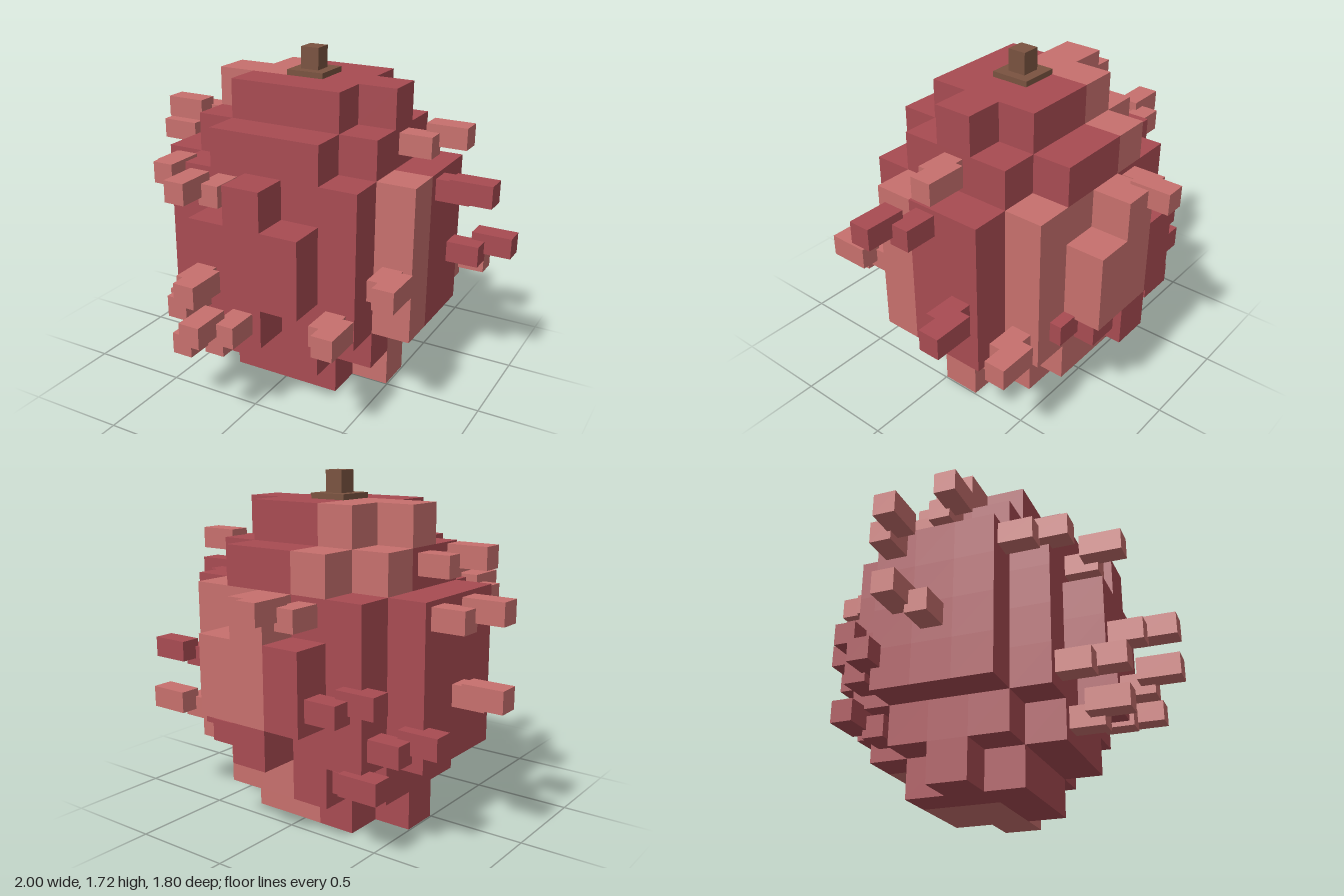
import * as THREE from 'three';
import { mergeGeometries } from 'three/addons/utils/BufferGeometryUtils.js';

const S = 0.1975;        // cell size
const ZC = -0.1;         // z of the body's middle row
const LAYERS = 8;

const mats = {
  darkRed: new THREE.MeshStandardMaterial({ name: 'darkRed', color: 0xa84b52 }),
  lightRed: new THREE.MeshStandardMaterial({ name: 'lightRed', color: 0xc7706d }),
  stemBrown: new THREE.MeshStandardMaterial({ name: 'stemBrown', color: 0x7a5340 }),
};

// Rounded body: which cells are filled (i = x, j = layer, k = z)
function filled(i, j, k) {
  const a = Math.abs(i), c = Math.abs(k);
  if (j < 0 || j >= LAYERS) return false;
  if (j === 0 || j === 7) return (a <= 1 && c <= 1) || (a === 2 && c === 0);
  if (j === 1 || j === 6) return (a <= 2 && c <= 1) || (a <= 1 && c === 2);
  if (c === 3) return a === 0 || (a === 1 && (j === 3 || j === 4));
  return (a <= 3 && c <= 1) || (a <= 2 && c === 2);
}

// Light patches on the skin
function isLight(i, j, k) {
  if (j <= 1) return i >= 0 && k <= 0;
  if (j === 7) return i < 0 && k <= 0;
  if (j === 6) return i < 0 && k < 0;
  if (i === 3) return k === 1;
  return i >= 0 && k <= -2 && !(k === -3 && j === 2);
}

const centre = (i, j, k) => new THREE.Vector3(i * S, (j + 0.5) * S, ZC + k * S);

// One outward-facing square on a cell's side
function cellFace(p, n) {
  const g = new THREE.PlaneGeometry(S, S);
  if (n[0]) g.rotateY(n[0] * Math.PI / 2);
  else if (n[1]) g.rotateX(-n[1] * Math.PI / 2);
  else if (n[2] < 0) g.rotateY(Math.PI);
  return g.translate(p.x + n[0] * S / 2, p.y + n[1] * S / 2, p.z + n[2] * S / 2);
}

function buildBody() {
  const faces = { darkRed: [], lightRed: [] };
  const dirs = [[1, 0, 0], [-1, 0, 0], [0, 1, 0], [0, -1, 0], [0, 0, 1], [0, 0, -1]];
  for (let i = -3; i <= 3; i++)
    for (let j = 0; j < LAYERS; j++)
      for (let k = -3; k <= 3; k++) {
        if (!filled(i, j, k)) continue;
        const list = faces[isLight(i, j, k) ? 'lightRed' : 'darkRed'];
        for (const n of dirs)
          if (!filled(i + n[0], j + n[1], k + n[2])) list.push(cellFace(centre(i, j, k), n));
      }
  const body = new THREE.Group();
  body.name = 'body';
  for (const key of ['darkRed', 'lightRed']) {
    const mesh = new THREE.Mesh(mergeGeometries(faces[key]), mats[key]);
    mesh.name = key === 'darkRed' ? 'skin' : 'skinPatches';
    body.add(mesh);
  }
  return body;
}

function box(name, mat, w, h, d, x, y, z) {
  const m = new THREE.Mesh(new THREE.BoxGeometry(w, h, d), mat);
  m.name = name;
  m.position.set(x, y, z);
  return m;
}

// Bent scale: a root block and a tip block shifted up and sideways
function scale([i, j, k, axis, dir, side, mat]) {
  const g = new THREE.Group();
  g.name = 'scale';
  const T = 0.108;
  const p = centre(i, j, k);
  const add = (name, from, to, shift, lift) => {
    const out = dir * (S / 2 + (from + to) / 2), len = to - from;
    g.add(axis === 'x'
      ? box(name, mats[mat], len, T, T, p.x + out, p.y + lift, p.z + shift)
      : box(name, mats[mat], T, T, len, p.x + shift, p.y + lift, p.z + out));
  };
  add('scaleRoot', 0, 0.168, 0, 0.02);
  add('scaleTip', 0.1, 0.307, side * 0.09, 0.061);
  return g;
}

// Cell, direction of growth, sideways bend, colour
const SCALES = [
  [-1, 5, 2, 'z', 1, -1, 'lightRed'],
  [-3, 5, 1, 'z', 1, 1, 'lightRed'],
  [-1, 3, 3, 'z', 1, 1, 'lightRed'],
  [-2, 2, 2, 'z', 1, 1, 'lightRed'],
  [0, 2, 3, 'z', 1, -1, 'lightRed'],
  [-1, 1, 2, 'z', 1, -1, 'lightRed'],
  [2, 2, 2, 'z', 1, 1, 'lightRed'],
  [3, 3, 1, 'z', 1, 1, 'lightRed'],
  [2, 6, 0, 'x', 1, -1, 'lightRed'],
  [3, 5, 0, 'x', 1, 1, 'darkRed'],
  [3, 3, -1, 'x', 1, -1, 'darkRed'],
  [2, 2, -2, 'x', 1, -1, 'lightRed'],
  [0, 2, -3, 'x', 1, 1, 'darkRed'],
  [-2, 6, 0, 'x', -1, 1, 'lightRed'],
  [-3, 5, -1, 'x', -1, 1, 'lightRed'],
  [-3, 3, 0, 'x', -1, -1, 'lightRed'],
  [-2, 2, -2, 'x', -1, 1, 'darkRed'],
  [-1, 3, -3, 'x', -1, 1, 'darkRed'],
  [-1, 1, -2, 'x', -1, -1, 'darkRed'],
  [-1, 5, -2, 'z', -1, 1, 'lightRed'],
];

export function createModel() {
  const model = new THREE.Group();
  model.name = 'scalyFruit';
  model.add(buildBody());

  const scales = new THREE.Group();
  scales.name = 'scales';
  SCALES.forEach((s) => scales.add(scale(s)));
  model.add(scales);

  // Stem on its thin plate
  const top = LAYERS * S;
  const stem = new THREE.Group();
  stem.name = 'stem';
  stem.add(box('stemPlate', mats.stemBrown, S, 0.028, S, 0, top + 0.014, ZC));
  stem.add(box('stemStalk', mats.stemBrown, 0.096, 0.11, 0.096, 0, top + 0.083, ZC));
  model.add(stem);
  return model;
}
